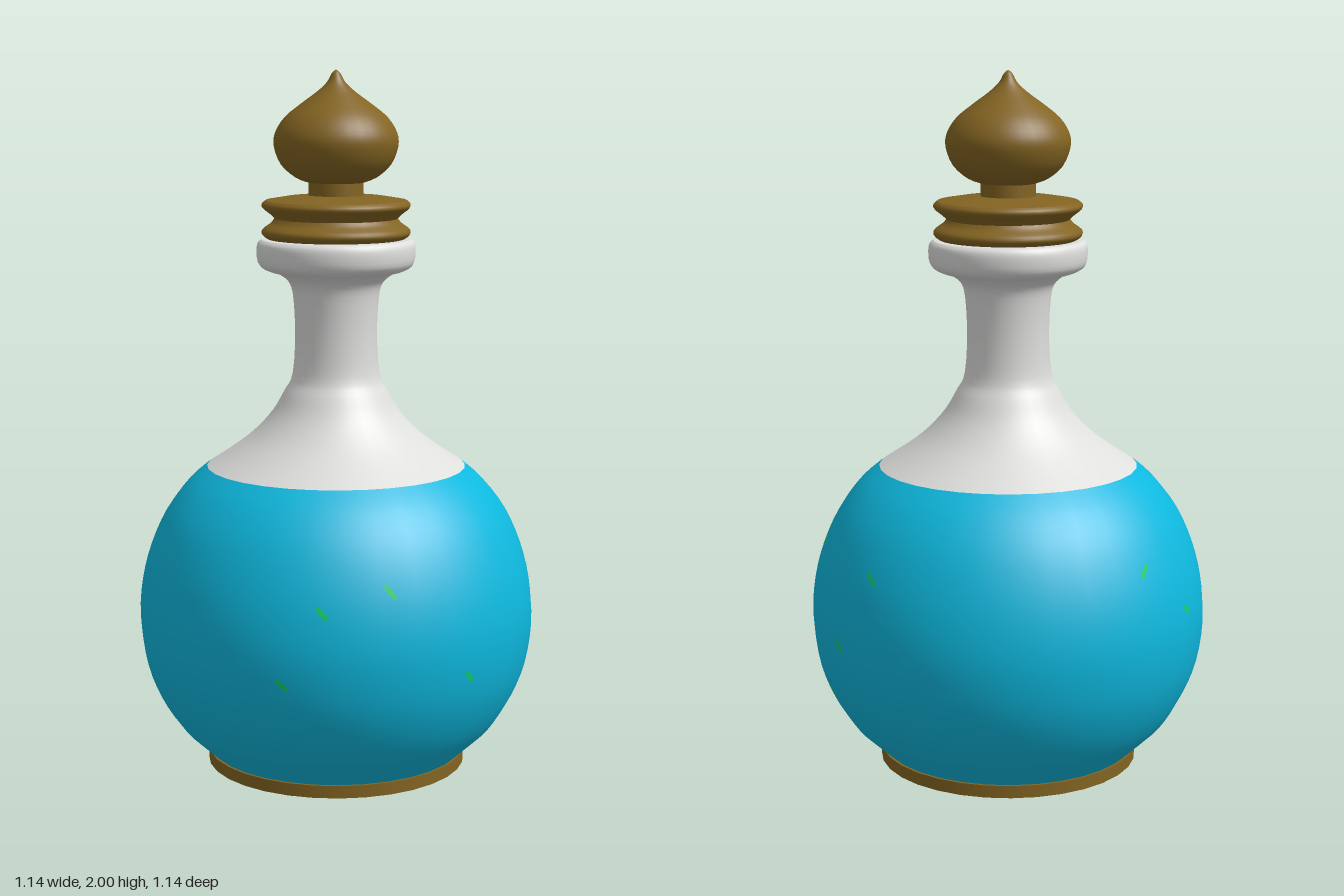
import * as THREE from 'three';

const SIDES = 32;
const FILL = 0.876; // liquid level

const mat = (name, color, extra = {}) => {
  const m = new THREE.MeshStandardMaterial({ color, ...extra });
  m.name = name;
  return m;
};

const toPoints = (pairs) => pairs.map(([r, y]) => new THREE.Vector2(r, y));

// Smooth curve through [radius, height] pairs
const smooth = (pairs, n) => new THREE.SplineCurve(toPoints(pairs)).getPoints(n);

export function createModel() {
  const group = new THREE.Group();
  const gold = mat('antique gold', 0x836422);
  const glass = mat('pale glass', 0xdededd, { side: THREE.DoubleSide });
  const liquid = mat('blue liquid', 0x0eb8de);
  const green = mat('green fleck', 0x12cf6c);

  const add = (name, geometry, material) => {
    const mesh = new THREE.Mesh(geometry, material);
    mesh.name = name;
    group.add(mesh);
    return mesh;
  };
  const lathe = (name, points, material) =>
    add(name, new THREE.LatheGeometry(points, SIDES), material);

  // Foot disc
  add('foot', new THREE.CylinderGeometry(0.375, 0.375, 0.036, SIDES), gold).position.y = 0.018;

  // Filled belly
  const belly = smooth([
    [0.365, 0.034], [0.41, 0.075], [0.465, 0.13], [0.515, 0.21], [0.553, 0.31], [0.57, 0.43],
    [0.562, 0.54], [0.535, 0.645], [0.49, 0.745], [0.43, 0.825], [0.372, FILL],
  ], 30);
  lathe('belly', belly, liquid);

  // Clear shoulder and neck
  lathe('neck', smooth([
    [0.372, FILL], [0.305, 0.92], [0.24, 0.97], [0.185, 1.03], [0.15, 1.09], [0.125, 1.14],
    [0.117, 1.25], [0.122, 1.36], [0.135, 1.405], [0.165, 1.43],
  ], 30), glass);

  // Rolled lip and its flat top
  lathe('lip', smooth([
    [0.165, 1.43], [0.2, 1.44], [0.221, 1.458], [0.226, 1.49], [0.223, 1.515], [0.212, 1.526],
  ], 14), glass);
  lathe('lipTop', toPoints([[0.212, 1.526], [0.1, 1.526]]), glass);

  // Stopper: two stacked flanges
  lathe('stopperUnderside', toPoints([[0, 1.528], [0.195, 1.528]]), gold);
  lathe('lowerFlange', smooth([
    [0.195, 1.528], [0.21, 1.54], [0.208, 1.555], [0.185, 1.572], [0.175, 1.585],
  ], 12), gold);
  lathe('upperFlange', smooth([
    [0.175, 1.585], [0.188, 1.598], [0.209, 1.615], [0.21, 1.627], [0.2, 1.636],
  ], 12), gold);
  lathe('flangeTop', toPoints([[0.2, 1.636], [0.14, 1.646], [0.078, 1.65]]), gold);

  // Stopper stem and pointed bulb
  lathe('stopperStem', toPoints([[0.078, 1.65], [0.078, 1.688]]), gold);
  lathe('stopperBulb', smooth([
    [0.076, 1.685], [0.115, 1.7], [0.155, 1.735], [0.175, 1.785], [0.172, 1.825], [0.145, 1.868],
    [0.1, 1.905], [0.055, 1.938], [0.026, 1.965], [0.012, 1.99], [0, 2],
  ], 30), gold);

  // Green flecks: small ellipses wrapped onto the belly
  const radiusAt = (y) => {
    const i = Math.max(1, belly.findIndex((p) => p.y >= y));
    const a = belly[i - 1], b = belly[i];
    return a.x + (b.x - a.x) * (y - a.y) / (b.y - a.y);
  };
  // [azimuth from the front, height, tilt]
  [
    [-0.29, 0.58, -0.8], [0.05, 0.63, -0.9], [-0.48, 0.38, -0.8], [0.48, 0.37, -0.9],
    [1.49, 0.67, -0.6], [1.33, 0.59, 0.1], [2.15, 0.64, -0.7], [1.95, 0.43, -1],
    [1.71, 0.25, -0.7], [3.7, 0.66, 0.8], [4.0, 0.52, -0.6],
  ].forEach(([azimuth, height, tilt]) => {
    const geo = new THREE.CircleGeometry(1, 8).scale(0.026, 0.008, 1).rotateZ(tilt);
    const pos = geo.attributes.position;
    for (let i = 0; i < pos.count; i++) {
      const y = height + pos.getY(i);
      const a = azimuth + pos.getX(i) / radiusAt(height);
      const r = radiusAt(y) + 0.002;
      pos.setXYZ(i, r * Math.sin(a), y, r * Math.cos(a));
    }
    geo.computeVertexNormals();
    add('fleck', geo, green);
  });

  return group;
}
